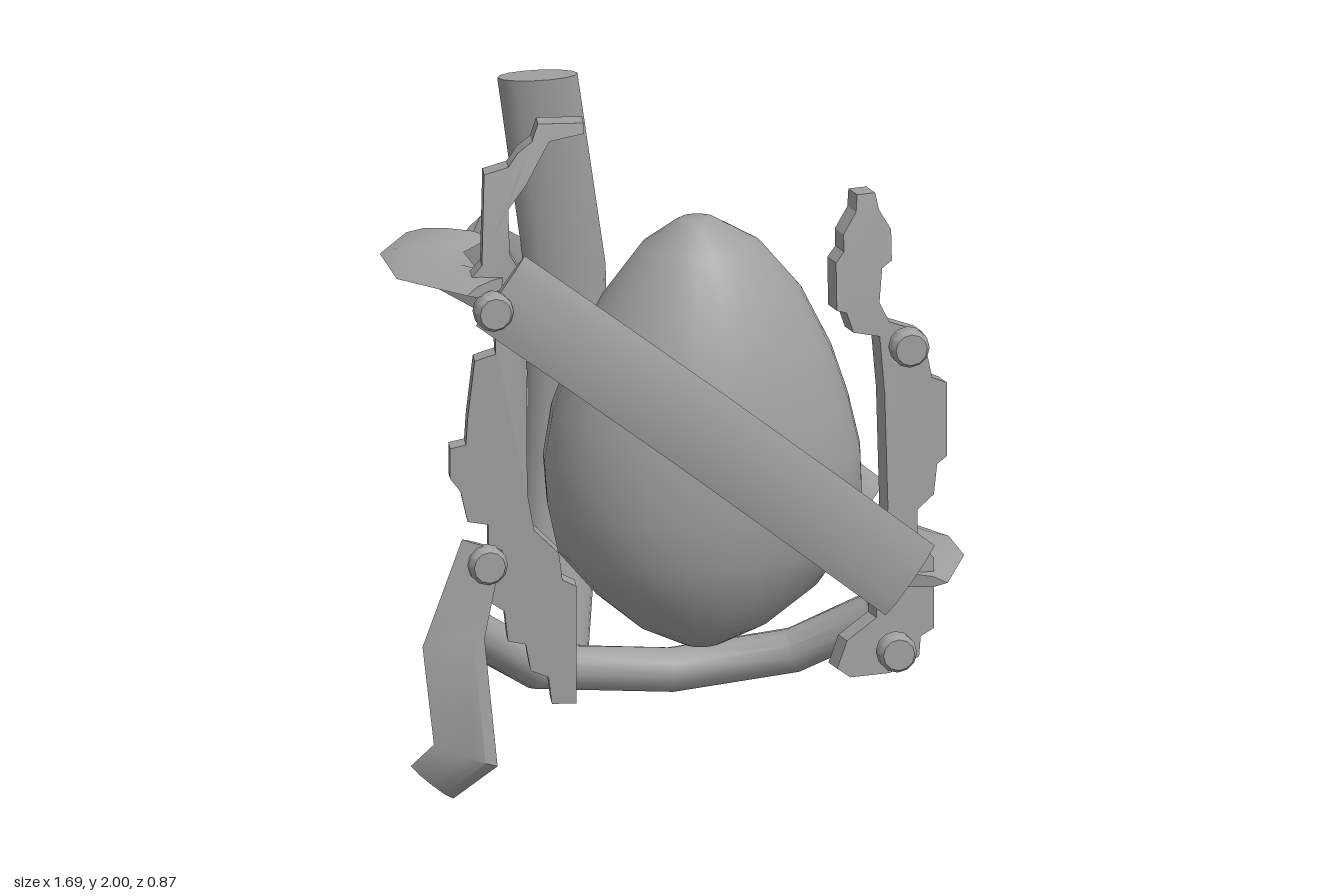
import * as THREE from 'three';
import { toCreasedNormals } from 'three/addons/utils/BufferGeometryUtils.js';

const V = (x, y, z) => new THREE.Vector3(x, y, z);

// Skin a row of equal-length rings, close both ends, and face it outward
function loft(rings, crease = 0.7) {
  const n = rings[0].length, pts = rings.flat(), idx = [];
  const center = r => r.reduce((s, p) => s.add(p), V(0, 0, 0)).divideScalar(n);
  const last = (rings.length - 1) * n, c0 = pts.length, c1 = c0 + 1;
  pts.push(center(rings[0]), center(rings[rings.length - 1]));
  for (let j = 0; j < n; j++) {
    const k = (j + 1) % n;
    for (let i = 0; i < last; i += n) idx.push(i + j, i + k, i + n + k, i + j, i + n + k, i + n + j);
    idx.push(c0, k, j, c1, last + j, last + k);
  }
  let volume = 0;
  for (let i = 0; i < idx.length; i += 3) {
    volume += pts[idx[i]].dot(pts[idx[i + 1]].clone().cross(pts[idx[i + 2]]));
  }
  if (volume < 0) idx.reverse();
  const g = new THREE.BufferGeometry().setFromPoints(pts);
  g.setIndex(idx);
  return toCreasedNormals(g, crease);
}

// Thin lens-section band between two edge lines: [[edgeA, edgeB], ...]
function band(pairs, t = 0.015) {
  const mid = pairs.map(([a, b]) => a.clone().lerp(b, 0.5));
  return loft(pairs.map(([a, b], i) => {
    const tan = mid[Math.min(i + 1, mid.length - 1)].clone().sub(mid[Math.max(i - 1, 0)]);
    const nrm = b.clone().sub(a).cross(tan).normalize();
    const at = (f, h) => a.clone().lerp(b, f).addScaledVector(nrm, h * t);
    return [at(0, 0), at(0.2, 0.8), at(0.5, 1), at(0.8, 0.8), at(1, 0), at(0.8, -0.8), at(0.5, -1), at(0.2, -0.8)];
  }));
}

// Round rod through a few points
function rod(path, r, sides = 12) {
  return loft(path.map((p, i) => {
    const tan = path[Math.min(i + 1, path.length - 1)].clone().sub(path[Math.max(i - 1, 0)]).normalize();
    const u = V(0, 0, 1).cross(tan).normalize(), w = tan.clone().cross(u);
    return Array.from({ length: sides }, (_, k) => {
      const a = k / sides * Math.PI * 2;
      return p.clone().addScaledVector(u, r * Math.cos(a)).addScaledVector(w, r * Math.sin(a));
    });
  }));
}

// Stepped flat plate, turned slightly outward and curling back toward its top
function plate(outline, side) {
  const g = new THREE.ExtrudeGeometry(new THREE.Shape(outline.map(p => new THREE.Vector2(...p))),
    { depth: 0.068, bevelEnabled: false });
  const p = g.attributes.position;
  for (let i = 0; i < p.count; i++) {
    const x = p.getX(i), z = p.getZ(i), lean = Math.max(0, (p.getY(i) - 1.25) / 0.75);
    p.setX(i, x + side * 0.15 * (z - 0.034));
    p.setZ(i, z + 0.262 + 0.15 * (0.55 - side * x) - 0.09 * lean * lean);
  }
  return toCreasedNormals(g, 0.4);
}

export function createModel() {
  const group = new THREE.Group();
  const grey = new THREE.MeshStandardMaterial({ color: 0xa0a0a0 });
  grey.name = 'plain grey';
  const add = (name, geometry) => {
    const m = new THREE.Mesh(geometry, grey);
    m.name = name;
    group.add(m);
    return m;
  };

  // Egg-shaped body: [y, left x, right x, half depth], blunt on -x
  const levels = [[0.34, 0.04, 0.16, 0.05], [0.4, -0.09, 0.3, 0.15], [0.5, -0.21, 0.44, 0.22], [0.63, -0.32, 0.54, 0.275],
    [0.77, -0.35, 0.575, 0.295], [0.9, -0.36, 0.57, 0.305], [1.05, -0.335, 0.535, 0.295], [1.2, -0.28, 0.485, 0.27],
    [1.38, -0.185, 0.395, 0.22], [1.53, -0.075, 0.27, 0.14], [1.6, 0.02, 0.15, 0.06], [1.612, 0.04, 0.13, 0.04]];
  add('body', loft(levels.map(([y, l, r, d]) => Array.from({ length: 24 }, (_, k) => {
    const a = k / 24 * Math.PI * 2, c = Math.cos(a);
    return V((l + r) / 2 + c * (r - l) / 2, y, Math.sin(a) * d * (1 - 0.14 * c) - 0.03 * c * c * Math.min(1, d / 0.3));
  })), 1));

  // Flattened upright tube behind the body: [x, y, z, half width, half depth]
  const stem = [[-0.335, 2, -0.228, 0.118, 0.055], [-0.235, 1.4, -0.31, 0.12, 0.056], [-0.215, 1, -0.353, 0.12, 0.056],
    [-0.24, 0.6, -0.345, 0.108, 0.056], [-0.275, 0.2, -0.25, 0.092, 0.052]];
  add('backTube', loft(stem.map(([x, y, z, w, d]) => Array.from({ length: 14 }, (_, k) => {
    const a = k / 14 * Math.PI * 2;
    return V(x + Math.cos(a) * w, y, z + Math.sin(a) * d);
  }))));

  // Curved rod cradling the underside
  add('lowerRod', rod([V(-0.59, 0.42, -0.03), V(-0.35, 0.245, -0.18), V(0.06, 0.193, -0.235),
    V(0.41, 0.245, -0.18), V(0.63, 0.385, -0.045)], 0.066));

  // Diagonal straps across front and back
  const strap = path => band(path.map(([x, y, z]) => [V(x - 0.072, y - 0.1, z), V(x + 0.072, y + 0.1, z)]));
  add('frontStrap', strap([[-0.58, 1.54, 0.362], [-0.3, 1.33, 0.4], [0, 1.1, 0.42], [0.35, 0.82, 0.398], [0.63, 0.59, 0.35]]));
  add('backStrap', strap([[-0.58, 1.5, -0.2], [-0.36, 1.34, -0.35], [-0.05, 1.11, -0.42], [0.35, 0.82, -0.4], [0.63, 0.6, -0.28]]));

  // Flat curved bands joining the straps at each side: [outer x, z, inner x, z]
  const sideBand = (y, rows) => band(rows.map(([a, b, c, d]) => [V(a, y, b), V(c, y, d)]), 0.02);
  add('rightSideBand', sideBand(1.547, [[-0.715, -0.255, -0.49, -0.15], [-0.838, -0.06, -0.6, -0.02],
    [-0.848, 0.2, -0.6, 0.14], [-0.69, 0.415, -0.51, 0.27]]));
  add('leftSideBand', sideBand(0.583, [[0.73, -0.318, 0.49, -0.2], [0.845, -0.09, 0.6, -0.03],
    [0.845, 0.11, 0.6, 0.09], [0.735, 0.375, 0.54, 0.28]]));

  // Loose strap end hanging on the right, curling under
  add('hangingStrap', band([
    [V(-0.69, 0.8, 0.35), V(-0.57, 0.76, 0.35)], [V(-0.81, 0.49, 0.365), V(-0.625, 0.5, 0.355)],
    [V(-0.78, 0.2, 0.38), V(-0.59, 0.12, 0.37)], [V(-0.84, 0.13, 0.345), V(-0.7, 0.005, 0.28)]], 0.013));

  // Stepped plates at the front
  add('rightPlate', plate([[-0.31, 2], [-0.44, 2], [-0.46, 1.95], [-0.5, 1.92], [-0.53, 1.88], [-0.6, 1.86], [-0.615, 1.6],
    [-0.65, 1.56], [-0.62, 1.45], [-0.58, 1.42], [-0.58, 1.34], [-0.64, 1.32], [-0.66, 1.15], [-0.665, 1.07], [-0.71, 1.06], [-0.71, 0.97],
    [-0.68, 0.93], [-0.66, 0.84], [-0.6, 0.83], [-0.6, 0.6], [-0.555, 0.57], [-0.545, 0.48], [-0.495, 0.47], [-0.48, 0.39],
    [-0.43, 0.37], [-0.42, 0.29], [-0.35, 0.29], [-0.35, 0.64], [-0.39, 0.66], [-0.4, 0.74], [-0.47, 0.81],
    [-0.49, 0.92], [-0.49, 1.55], [-0.535, 1.63], [-0.535, 1.76], [-0.48, 1.83], [-0.44, 1.9], [-0.41, 1.95], [-0.31, 1.97]], -1));
  add('leftPlate', plate([[0.48, 1.74], [0.535, 1.74], [0.545, 1.69], [0.58, 1.63], [0.58, 1.54], [0.55, 1.52], [0.54, 1.42],
    [0.57, 1.36], [0.67, 1.32], [0.7, 1.18], [0.745, 1.16], [0.745, 0.94], [0.715, 0.92], [0.705, 0.83], [0.655, 0.79],
    [0.655, 0.7], [0.705, 0.64], [0.705, 0.43], [0.665, 0.41], [0.66, 0.35], [0.57, 0.31], [0.45, 0.31], [0.41, 0.34], [0.44, 0.42],
    [0.53, 0.48], [0.53, 0.7], [0.565, 0.8], [0.555, 1.15], [0.54, 1.32], [0.46, 1.34], [0.44, 1.4], [0.41, 1.41], [0.41, 1.55],
    [0.435, 1.58], [0.435, 1.63], [0.475, 1.69]], 1));

  // Bevelled fixing knobs
  const knobShape = [[0, 0], [0.042, 0], [0.042, 0.028], [0.057, 0.035], [0.057, 0.07], [0.046, 0.088], [0, 0.088]];
  for (const [x, y, z] of [[-0.605, 1.485, 0.325], [-0.62, 0.725, 0.315], [0.622, 1.295, 0.318], [0.585, 0.385, 0.318]]) {
    const g = new THREE.LatheGeometry(knobShape.map(p => new THREE.Vector2(...p)), 12);
    const knob = add('knob', toCreasedNormals(g, 0.7));
    knob.rotation.x = Math.PI / 2;
    knob.position.set(x, y, z);
  }
  return group;
}
